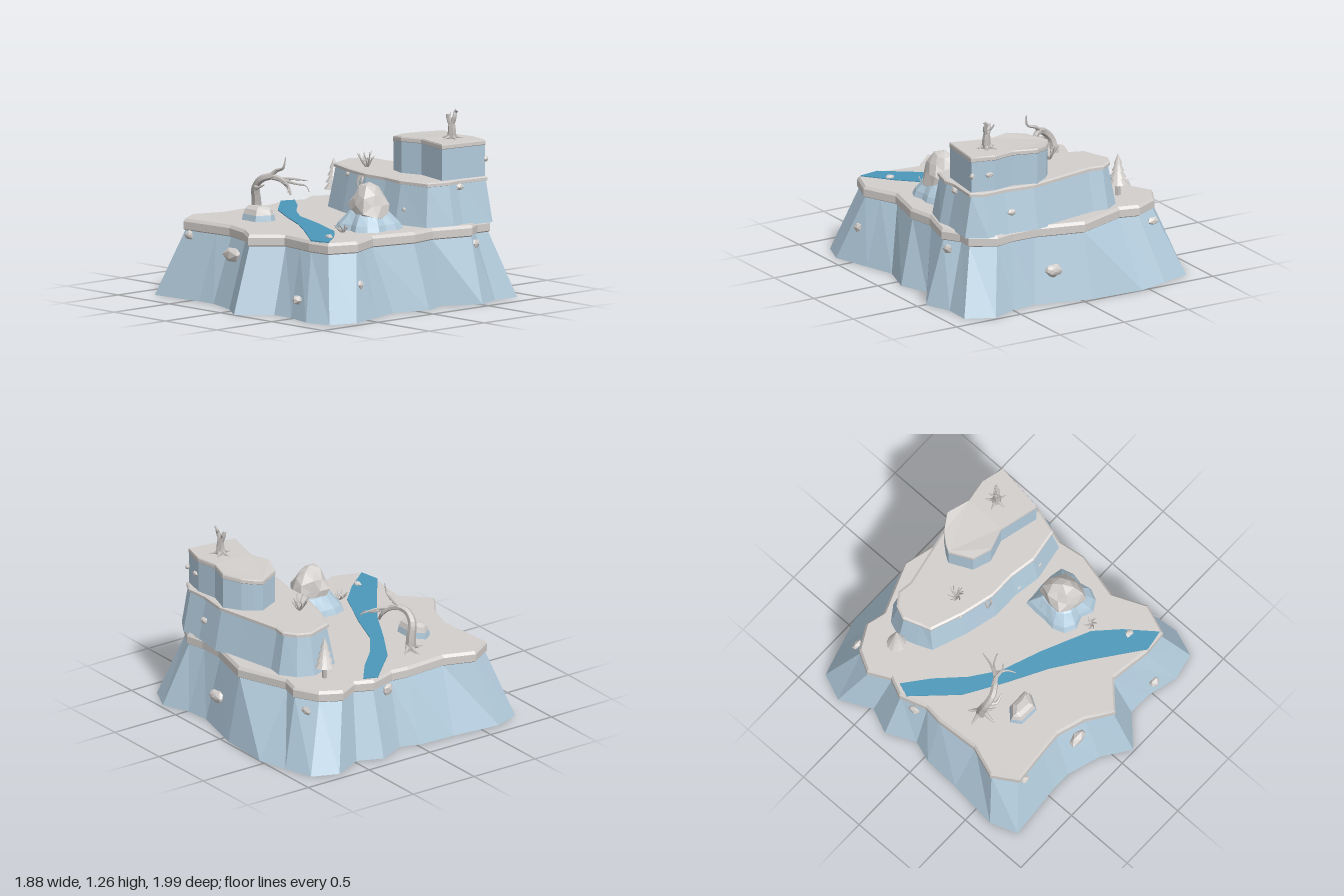
import * as THREE from 'three';

const mat = (name, color) => Object.assign(new THREE.MeshStandardMaterial({ color }), { name });
const V = (x, y, z) => new THREE.Vector3(x, y, z);

// Push a closed outline outward (negative = inward) along its corner normals
function offset(outline, d) {
  const n = outline.length;
  return outline.map(([x, z], i) => {
    const [px, pz] = outline[(i + n - 1) % n], [qx, qz] = outline[(i + 1) % n];
    const dx = qx - px, dz = qz - pz, l = Math.hypot(dx, dz);
    return [x + (dz / l) * d, z - (dx / l) * d];
  });
}

// Faceted solid from stacked rings { y, p, sag }, capped at either end
function loft(rings, capBottom, capTop) {
  const pos = [], n = rings[0].p.length;
  const pts = rings.map(r => r.p.map(([x, z]) => V(x, r.y - (r.sag ? r.sag(x) : 0), z)));
  const tri = (...vs) => vs.forEach(v => pos.push(v.x, v.y, v.z));
  for (let k = 0; k + 1 < pts.length; k++) {
    for (let i = 0; i < n; i++) {
      const j = (i + 1) % n, a = pts[k], b = pts[k + 1];
      tri(a[i], b[i], b[j]);
      tri(a[i], b[j], a[j]);
    }
  }
  const cap = (ring, sign) => {
    const faces = THREE.ShapeUtils.triangulateShape(ring.map(v => new THREE.Vector2(v.x, v.z)), []);
    for (const [a, b, c] of faces) {
      const A = ring[a], B = ring[b], C = ring[c];
      const ny = (B.z - A.z) * (C.x - A.x) - (B.x - A.x) * (C.z - A.z);
      if (ny * sign > 0) tri(A, B, C); else tri(A, C, B);
    }
  };
  if (capBottom) cap(pts[0], -1);
  if (capTop) cap(pts[pts.length - 1], 1);
  const g = new THREE.BufferGeometry();
  g.setAttribute('position', new THREE.Float32BufferAttribute(pos, 3));
  g.computeVertexNormals();
  return g;
}

function facet(g) {
  const f = g.index ? g.toNonIndexed() : g;
  f.computeVertexNormals();
  return f;
}

// Chunky stone: icosahedron with seeded bumps, stretched to its half sizes
function stoneGeo(rx, ry, rz, seed, detail = 1, taper = 0) {
  const g = new THREE.IcosahedronGeometry(1, detail), p = g.attributes.position;
  for (let i = 0; i < p.count; i++) {
    const x = p.getX(i), y = p.getY(i), z = p.getZ(i);
    const k = 1 + 0.13 * Math.sin(Math.round(x * 50) * 1.7 + Math.round(y * 50) * 2.3 + Math.round(z * 50) * 3.1 + seed);
    const t = k * (1 - taper * y);
    p.setXYZ(i, x * t * rx, y * k * ry, z * t * rz);
  }
  return facet(g);
}

// Tapering branch along a smooth path
function limbGeo(path, r0, r1) {
  const curve = new THREE.CatmullRomCurve3(path.map(a => V(...a)));
  const seg = path.length * 3, sides = 6;
  const g = new THREE.TubeGeometry(curve, seg, r0, sides), p = g.attributes.position;
  for (let i = 0; i <= seg; i++) {
    const c = curve.getPointAt(i / seg), s = THREE.MathUtils.lerp(1, r1 / r0, i / seg);
    for (let j = 0; j <= sides; j++) {
      const v = V().fromBufferAttribute(p, i * (sides + 1) + j).sub(c).multiplyScalar(s).add(c);
      p.setXYZ(i * (sides + 1) + j, v.x, v.y, v.z);
    }
  }
  return facet(g);
}

export function createModel() {
  const root = new THREE.Group();
  root.name = 'terracedCliff';
  const cliff = mat('cliffBlue', 0xb2cbdc), stone = mat('paleStone', 0xd2cecb);
  const wood = mat('greyWood', 0xbfbbb8), water = mat('water', 0x4c98ba);
  const add = (name, geo, m, parent = root) => {
    const o = new THREE.Mesh(geo, m);
    o.name = name;
    parent.add(o);
    return o;
  };

  // Lowest terrace: foot x, z and top x, z for each corner
  const lower = [
    [-.865, -.88, -.71, -.70], [-.66, -.94, -.55, -.785], [-.45, -1, -.415, -.75], [-.07, -.98, -.065, -.885],
    [.32, -.88, .27, -.80], [.49, -.90, .45, -.80], [.68, -.975, .58, -.83], [.87, -.885, .74, -.74],
    [.865, -.69, .735, -.63], [.935, -.51, .81, -.52], [.79, -.28, .73, -.24], [.87, -.085, .76, -.05],
    [.79, .165, .685, .265], [.855, .375, .74, .39], [.935, .635, .79, .50], [.87, .82, .72, .69],
    [.685, .86, .56, .70], [.48, .805, .43, .68], [.31, .80, .27, .66], [.12, .99, .10, .83],
    [-.065, .86, -.065, .715], [-.30, .785, -.27, .65], [-.44, .785, -.41, .66], [-.835, .82, -.68, .685],
    [-.905, .635, -.775, .53], [-.87, .29, -.70, .32], [-.86, .035, -.72, .015], [-.81, -.11, -.705, -.11],
    [-.905, -.31, -.765, -.295], [-.83, -.48, -.71, -.42], [-.94, -.70, -.785, -.565]];
  const middle = [
    [-.43, -.57], [-.395, -.65], [-.32, -.705], [-.22, -.69], [.08, -.75], [.27, -.79], [.48, -.765], [.64, -.775],
    [.725, -.735], [.70, -.50], [.715, -.41], [.675, -.255], [.45, -.22], [.27, -.25], [.08, -.25], [-.14, -.305],
    [-.37, -.39], [-.39, -.46]];
  const upper = [
    [.05, -.61], [.08, -.66], [.135, -.725], [.245, -.795], [.405, -.745], [.56, -.77], [.72, -.73], [.675, -.385],
    [.40, -.455], [.25, -.41], [.125, -.455]];
  const sag = x => 0.025 * THREE.MathUtils.clamp((0.25 - x) / 0.2, 0, 1);

  function terrace(name, foot, top, y0, y1, y2, lip, drop) {
    const ring = (y, d) => ({ y, p: offset(top, d), sag: drop });
    add(name + 'Cliff', loft([{ y: y0, p: foot }, ring(y1 + 0.005, 0)], true, false), cliff);
    const h = y2 - y1;
    add(name + 'Ledge', loft([ring(y1, 0), ring(y1 + h * 0.12, lip), ring(y1 + h * 0.75, lip), ring(y2, 0)], true, true), stone);
  }
  terrace('lower', lower.map(c => [c[0], c[1]]), lower.map(c => [c[2], c[3]]), 0, 0.44, 0.52, 0.015);
  terrace('middle', offset(middle, 0.055), middle, 0.51, 0.785, 0.815, 0.015);
  terrace('upper', upper, upper, 0.80, 1.025, 1.06, 0.004, sag);

  // River crossing the lowest terrace
  const river = [
    [-.72, -.345], [-.55, -.21], [-.38, -.04], [-.20, .09], [.08, .195], [.41, .345], [.56, .49], [.715, .685],
    [.57, .71], [.24, .465], [.03, .32], [-.235, .175], [-.50, .015], [-.755, -.25]];
  add('river', loft([{ y: 0.518, p: river }, { y: 0.526, p: river }], false, true), water);

  // Large boulder sitting on a lobed blue footing
  const lobes = (r, k) => Array.from({ length: 16 }, (_, i) => {
    const a = i * Math.PI / 8, s = r * (1 - k * Math.cos(4 * a)) * (1 + 0.06 * Math.sin(i * 2.7));
    return [0.44 + Math.cos(a) * s, 0.065 + Math.sin(a) * s];
  });
  add('boulderFooting', loft([
    { y: 0.515, p: lobes(0.205, 0.14) }, { y: 0.56, p: lobes(0.185, 0.13) },
    { y: 0.635, p: lobes(0.125, 0.08) }, { y: 0.66, p: lobes(0.08, 0) }], false, true), cliff);
  add('largeBoulder', stoneGeo(0.135, 0.145, 0.14, 1.2, 1, 0.22), stone).position.set(0.445, 0.685, 0.06);

  // Flat boulder with blue underside
  const slab = [[-.43, .38], [-.35, .305], [-.21, .305], [-.19, .36], [-.245, .455], [-.385, .45]];
  add('flatBoulderBase', loft([{ y: 0.515, p: slab }, { y: 0.56, p: offset(slab, -0.01) }], false, false), cliff);
  add('flatBoulderTop', loft([
    { y: 0.56, p: offset(slab, -0.01) }, { y: 0.595, p: offset(slab, -0.025) },
    { y: 0.615, p: offset(slab, -0.055) }], false, true), stone);

  // Loose stones lodged in the cliffs: x, y, z, half sizes
  [[-.63, .415, .70, .032, .03, .025], [-.16, .345, .745, .08, .055, .04], [.535, .125, .80, .042, .035, .035],
    [.18, .22, -.895, .06, .045, .035], [.835, .235, .515, .028, .036, .034], [.80, .39, -.56, .03, .034, .046],
    [-.765, .42, -.175, .025, .04, .04], [-.67, .38, -.775, .045, .03, .025], [.715, .765, -.51, .02, .025, .035],
    [-.16, .77, -.315, .022, .022, .02], [.31, .57, -.21, .022, .02, .018], [.50, .62, -.205, .025, .022, .018],
    [.45, .65, -.80, .03, .022, .02], [.72, .93, -.74, .016, .022, .02], [.60, .93, -.765, .03, .02, .015],
    [.57, .53, .545, .032, .016, .022], [-.73, .34, -.72, .025, .03, .025]]
    .forEach(([x, y, z, a, b, c], i) => add('cliffStone', stoneGeo(a, b, c, i * 1.3, i % 3 ? 0 : 1), stone).position.set(x, y, z));

  // Layered conifer
  const pine = new THREE.Group();
  pine.name = 'conifer';
  pine.position.set(-0.545, 0.515, -0.535);
  root.add(pine);
  add('coniferTrunk', facet(new THREE.CylinderGeometry(0.014, 0.018, 0.12, 7)), wood, pine).position.y = 0.06;
  [[.066, .09], [.055, .085], [.042, .08], [.029, .075]].forEach(([r, h], i) =>
    add('coniferTier', facet(new THREE.ConeGeometry(r, h, 10)), stone, pine).position.y = 0.13 + i * 0.043);

  // Helper for a named group of branches
  const tree = (name, x, y, z, limbs) => {
    const g = new THREE.Group();
    g.name = name;
    g.position.set(x, y, z);
    root.add(g);
    limbs.forEach(([r0, r1, ...path]) => add(name + 'Branch', limbGeo(path, r0, r1), wood, g));
    return g;
  };

  // Bent tree leaning over the river
  tree('bentTree', -0.5, 0.515, 0.195, [
    [.036, .022, [-.01, 0, 0], [-.005, .10, .01], [.01, .19, .03], [.07, .25, .03], [.14, .275, -.01]],
    [.023, .008, [.12, .272, 0], [.18, .25, -.04], [.22, .20, -.07], [.26, .15, -.06]],
    [.017, .003, [.12, .272, 0], [.16, .31, -.02], [.225, .335, -.02], [.24, .41, -.03]],
    [.014, .003, [.17, .255, -.03], [.22, .25, -.12], [.25, .23, -.22]],
    [.012, .003, [.18, .25, -.04], [.25, .22, -.12], [.31, .21, -.15], [.33, .17, -.16]],
    [.012, .003, [.20, .225, -.06], [.27, .21, -.03], [.31, .18, .02]],
    [.018, .004, [.02, .20, .03], [.06, .19, .07], [.13, .22, .06]],
    [.022, .004, [0, .05, 0], [-.06, .012, 0], [-.12, 0, .01]],
    [.022, .004, [0, .05, 0], [.0, .012, .06], [0, 0, .12]],
    [.020, .004, [0, .05, 0], [.05, .012, .03], [.09, 0, .05]],
    [.020, .004, [0, .05, 0], [-.03, .012, -.05], [-.06, 0, -.08]]]);

  // Forked dead trunk on the summit
  tree('summitTree', 0.525, 1.058, -0.61, [
    [.034, .022, [0, 0, 0], [.004, .05, 0], [0, .11, 0]],
    [.021, .012, [0, .09, 0], [-.02, .14, .01], [-.022, .165, .015]],
    [.019, .010, [0, .09, 0], [.02, .15, -.01], [.015, .175, -.02], [.035, .195, -.02]],
    [.010, .003, [-.01, .12, 0], [-.035, .15, -.02], [-.04, .17, -.03]],
    ...[0.3, 1.6, 2.9, 4.1, 5.3].map(a =>
      [.018, .003, [0, .035, 0], [Math.cos(a) * .035, .01, Math.sin(a) * .035], [Math.cos(a) * .075, .002, Math.sin(a) * .075]])]);

  // Bare twiggy shrubs
  const shrub = (x, y, z, n, r, h) => tree('bareShrub', x, y, z, Array.from({ length: n }, (_, i) => {
    const a = i * 2.4, s = r * (0.6 + 0.4 * Math.sin(i * 1.9) ** 2), t = h * (0.65 + 0.35 * Math.cos(i * 2.2) ** 2);
    return [.008, .002, [0, 0, 0], [Math.cos(a) * s * .5, t * .45, Math.sin(a) * s * .5], [Math.cos(a + .3) * s, t, Math.sin(a + .3) * s]];
  }));
  shrub(-0.085, 0.812, -0.41, 10, 0.07, 0.11);
  shrub(0.45, 0.518, 0.31, 7, 0.06, 0.06);

  // Roots hanging from the middle ledge
  tree('hangingRoots', 0.03, 0.79, -0.25, [
    [.014, .003, [-.01, 0, 0], [-.015, -.05, .02], [-.005, -.10, .02]],
    [.012, .003, [.02, 0, 0], [.025, -.04, .02], [.01, -.13, .015]]]);

  return root;
}
